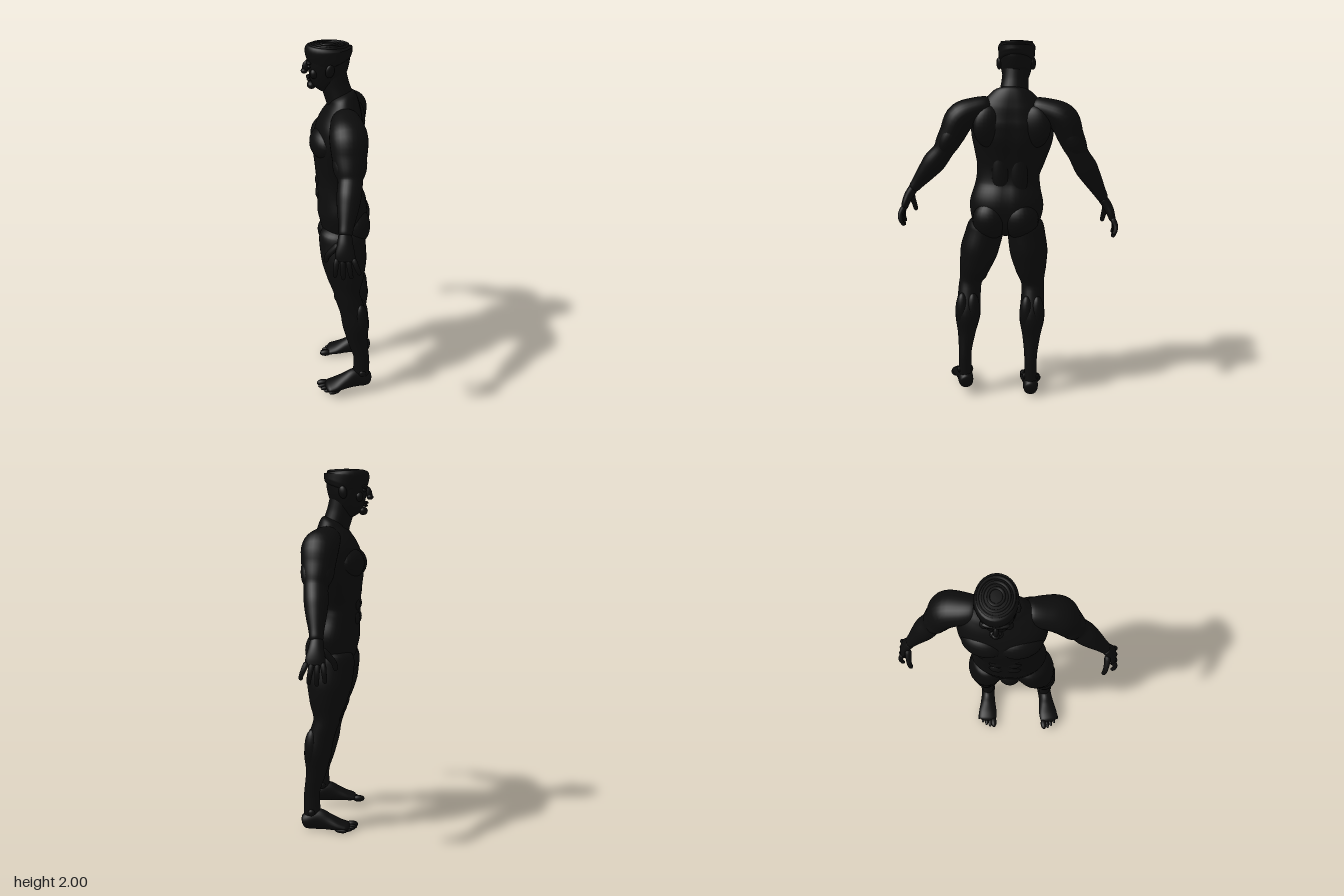
import * as THREE from 'three';

const skin = new THREE.MeshStandardMaterial({ color: 0x0c0c0c });
skin.name = 'near black';

const V = (x, y, z) => new THREE.Vector3(x, y, z);

// Smooth closed body through cross-sections [x, y, z, halfWidth, halfDepth], rounded at both ends
function loft(name, sections, { steps = 40, sides = 28, round = 0.06, ref = V(0, 0, 1), shape = () => 1 } = {}) {
  const path = new THREE.CatmullRomCurve3(sections.map(s => V(s[0], s[1], s[2])));
  const size = new THREE.CatmullRomCurve3(sections.map(s => V(s[3], s[4], 0)));
  const pos = [], index = [];
  for (let i = 0; i <= steps; i++) {
    const t = (1 - Math.cos(Math.PI * i / steps)) / 2;
    const e = Math.max(0, 1 - Math.min(t, 1 - t) / round);
    const k = Math.max(0.001, Math.sqrt(1 - e * e));
    const c = path.getPoint(t), r = size.getPoint(t), dir = path.getTangent(t);
    const v = ref.clone().addScaledVector(dir, -ref.dot(dir)).normalize();
    const u = v.clone().cross(dir);
    for (let j = 0; j < sides; j++) {
      const a = j / sides * Math.PI * 2, m = k * shape(a, t);
      const p = c.clone().addScaledVector(u, r.x * m * Math.cos(a)).addScaledVector(v, r.y * m * Math.sin(a));
      pos.push(p.x, p.y, p.z);
      if (i < steps) {
        const b = i * sides, n = (j + 1) % sides;
        index.push(b + j, b + n, b + sides + j, b + n, b + sides + n, b + sides + j);
      }
    }
  }
  const g = new THREE.BufferGeometry();
  g.setAttribute('position', new THREE.Float32BufferAttribute(pos, 3));
  g.setIndex(index);
  g.computeVertexNormals();
  const mesh = new THREE.Mesh(g, skin);
  mesh.name = name;
  return mesh;
}

// Ellipsoid used for muscles and facial forms
function blob(name, p, r, rot = [0, 0, 0]) {
  const mesh = new THREE.Mesh(new THREE.SphereGeometry(1, 24, 16), skin);
  mesh.name = name;
  mesh.position.set(...p);
  mesh.scale.set(...r);
  mesh.rotation.set(...rot);
  return mesh;
}

const mix = (a, b, t) => a.map((v, i) => v + (b[i] - v) * t);
const finger = (name, pts, r) => loft(name, pts.map((p, i) => [...p, r * (1 - 0.12 * i), r * (1 - 0.12 * i)]),
  { steps: 14, sides: 10, round: 0.12 });

function buildTorso() {
  const g = new THREE.Group();
  g.name = 'torso';
  // The groove follows the spine down the back
  const spine = (a, t) => 1 - 0.07 * Math.exp(-(((a - Math.PI * 1.5) / 0.16) ** 2)) * Math.sin(Math.PI * t);
  g.add(loft('trunk', [
    [0.01, 0.92, 0.02, 0.11, 0.09], [0.005, 1.0, 0.02, 0.19, 0.125], [0, 1.1, 0.025, 0.208, 0.14],
    [-0.005, 1.2, 0.045, 0.185, 0.122], [-0.008, 1.27, 0.05, 0.176, 0.118], [-0.02, 1.37, 0.05, 0.2, 0.128],
    [-0.03, 1.48, 0.045, 0.228, 0.142], [-0.033, 1.57, 0.033, 0.23, 0.13], [-0.035, 1.65, 0.02, 0.19, 0.1],
    [-0.037, 1.7, 0.02, 0.135, 0.08], [-0.04, 1.75, 0.035, 0.08, 0.065],
  ], { steps: 60, sides: 48, shape: spine }));
  for (const s of [-1, 1]) {
    g.add(blob('pectoral', [-0.03 + s * 0.095, 1.5, 0.12], [0.115, 0.085, 0.075], [-0.15, s * 0.3, 0]));
    g.add(blob('shoulderBlade', [-0.033 + s * 0.12, 1.54, -0.045], [0.095, 0.115, 0.05], [0, s * 0.3, 0]));
    g.add(blob('buttock', [0.003 + s * 0.085, 1.02, -0.045], [0.1, 0.11, 0.085]));
    g.add(blob('backMuscle', [-0.02 + s * 0.05, 1.27, -0.045], [0.05, 0.16, 0.03]));
    for (let i = 0; i < 3; i++)
      g.add(blob('abdominal', [-0.012 + s * 0.042, 1.2 + i * 0.075, 0.148], [0.045, 0.04, 0.025]));
  }
  g.add(blob('groin', [0.01, 0.96, 0.11], [0.06, 0.07, 0.055]));
  return g;
}

function buildHead() {
  const g = new THREE.Group();
  g.name = 'head';
  g.add(loft('neck', [[-0.035, 1.62, 0.02, 0.11, 0.085], [-0.04, 1.7, 0.035, 0.085, 0.075],
    [-0.045, 1.78, 0.06, 0.074, 0.073], [-0.05, 1.88, 0.08, 0.07, 0.07]]));
  g.add(loft('skull', [[-0.05, 1.76, 0.15, 0.035, 0.04], [-0.05, 1.785, 0.135, 0.062, 0.065],
    [-0.05, 1.83, 0.115, 0.081, 0.092], [-0.051, 1.88, 0.102, 0.09, 0.108], [-0.052, 1.93, 0.095, 0.093, 0.112],
    [-0.053, 1.985, 0.09, 0.075, 0.09]]));
  // Short hair with stepped crown rings
  g.add(loft('hair', [[-0.053, 1.885, 0.07, 0.092, 0.098], [-0.053, 1.92, 0.083, 0.1, 0.118],
    [-0.053, 1.965, 0.094, 0.102, 0.124], [-0.053, 1.995, 0.094, 0.085, 0.105]], { round: 0.12 }));
  for (const r of [0.035, 0.06, 0.082]) {
    const ring = new THREE.Mesh(new THREE.TorusGeometry(r, 0.007, 8, 36), skin);
    ring.name = 'hairRidge';
    ring.rotation.x = Math.PI / 2;
    ring.scale.y = 1.18;
    ring.position.set(-0.053, 1.997 - r * 0.1, 0.092);
    g.add(ring);
  }
  g.add(blob('brow', [-0.05, 1.905, 0.192], [0.065, 0.013, 0.02]));
  g.add(blob('noseBridge', [-0.05, 1.877, 0.212], [0.013, 0.034, 0.02], [-0.3, 0, 0]));
  g.add(blob('noseTip', [-0.05, 1.853, 0.222], [0.019, 0.014, 0.018]));
  g.add(blob('upperLip', [-0.05, 1.824, 0.2], [0.028, 0.008, 0.014]));
  g.add(blob('lowerLip', [-0.05, 1.809, 0.197], [0.024, 0.008, 0.013]));
  g.add(blob('chin', [-0.05, 1.78, 0.185], [0.034, 0.022, 0.025]));
  for (const s of [-1, 1]) {
    g.add(blob('ear', [-0.05 + s * 0.094, 1.875, 0.085], [0.014, 0.034, 0.024], [-0.2, s * 0.35, 0]));
    g.add(blob('eye', [-0.05 + s * 0.036, 1.886, 0.193], [0.018, 0.009, 0.012]));
    g.add(blob('cheek', [-0.05 + s * 0.055, 1.853, 0.168], [0.024, 0.026, 0.022]));
  }
  return g;
}

// s is +1 for the left side; joints are [x, y, z]
function buildArm(name, s, shoulder, elbow, wrist) {
  const g = new THREE.Group();
  g.name = name;
  const up = t => mix(shoulder, elbow, t), low = t => mix(elbow, wrist, t);
  const [sx, sy] = shoulder;
  g.add(loft('armBody', [
    [sx - s * 0.19, sy + 0.065, 0.01, 0.055, 0.06], [sx - s * 0.09, sy + 0.045, 0, 0.068, 0.085],
    [...shoulder, 0.083, 0.098], [...up(0.45), 0.073, 0.088], [...up(0.75), 0.066, 0.074], [...elbow, 0.057, 0.063],
    [...low(0.25), 0.063, 0.063], [...low(0.5), 0.053, 0.054], [...low(0.8), 0.036, 0.038], [...wrist, 0.027, 0.033],
  ], { steps: 56 }));
  const b = up(0.55);
  g.add(blob('biceps', [b[0], b[1], b[2] + 0.035], [0.052, 0.095, 0.052], [0, 0, s * 0.5]));
  g.add(blob('triceps', [b[0], b[1], b[2] - 0.04], [0.05, 0.1, 0.048], [0, 0, s * 0.5]));

  // Hand: palm, four hanging fingers and a forward thumb
  const at = (x, y, z) => [wrist[0] + s * x, wrist[1] + y, wrist[2] + z];
  g.add(loft('palm', [[...at(-0.015, 0.02, 0), 0.027, 0.033], [...at(0.015, -0.025, 0), 0.026, 0.04],
    [...at(0.035, -0.07, 0), 0.022, 0.05], [...at(0.045, -0.105, 0), 0.017, 0.05]]));
  for (let i = 0; i < 4; i++) {
    const z = 0.038 - i * 0.026, len = [0.1, 0.115, 0.108, 0.085][i];
    g.add(finger('finger', [at(0.04, -0.085, z), at(0.058, -0.09 - len * 0.4, z * 1.3 - 0.004),
      at(0.056, -0.09 - len * 0.75, z * 1.5 - 0.008), at(0.045, -0.09 - len, z * 1.55 - 0.01)], 0.0155));
  }
  g.add(finger('thumb', [at(0.005, -0.025, 0.025), at(0.005, -0.06, 0.06), at(0, -0.095, 0.088),
    at(-0.008, -0.135, 0.097)], 0.019));
  return g;
}

function buildLeg(name, s, hip, knee, ankle, floor, turn) {
  const g = new THREE.Group();
  g.name = name;
  const up = t => mix(hip, knee, t), low = t => mix(knee, ankle, t);
  const back = (p, d) => [p[0], p[1], p[2] - d];
  g.add(loft('legBody', [
    [hip[0], hip[1] + 0.08, hip[2], 0.085, 0.1], [...hip, 0.105, 0.128], [...up(0.35), 0.108, 0.125],
    [...up(0.7), 0.088, 0.1], [...knee, 0.064, 0.07], [...back(low(0.2), 0.008), 0.066, 0.07],
    [...back(low(0.42), 0.012), 0.072, 0.077], [...low(0.7), 0.051, 0.058], [...ankle, 0.036, 0.045],
    [ankle[0], floor + 0.12, ankle[2], 0.036, 0.047], [ankle[0], floor + 0.045, ankle[2] + 0.005, 0.038, 0.048],
  ], { steps: 56 }));
  g.add(blob('kneecap', [knee[0], knee[1] + 0.01, knee[2] + 0.05], [0.038, 0.05, 0.027]));
  const q = up(0.75);
  g.add(blob('innerThigh', [q[0] - s * 0.035, q[1], q[2] + 0.05], [0.046, 0.085, 0.042]));
  for (const d of [-1, 1]) {
    const c = low(0.36);
    g.add(blob('calf', [c[0] + d * 0.03, c[1], c[2] - 0.045], [0.04, 0.105, 0.043]));
  }

  // Foot with five toes, turned about the ankle
  const foot = new THREE.Group();
  foot.name = 'foot';
  foot.position.set(ankle[0], floor, ankle[2]);
  foot.rotation.y = turn;
  foot.add(loft('footBody', [[0, 0.04, -0.058, 0.034, 0.034], [0, 0.05, -0.02, 0.043, 0.05],
    [0, 0.06, 0.035, 0.043, 0.06], [0, 0.047, 0.09, 0.049, 0.046], [0, 0.03, 0.155, 0.059, 0.029],
    [0, 0.02, 0.215, 0.057, 0.018]], { ref: V(0, 1, 0), round: 0.08 }));
  for (let i = 0; i < 5; i++) {
    const x = s * (-0.042 + i * 0.023), r = i ? 0.0145 - i * 0.0006 : 0.02;
    foot.add(blob('toe', [x, r, 0.222 - i * i * 0.0034], [r * 0.95, r, 0.036], [0, s * (i - 1) * 0.08, 0]));
  }
  for (const d of [-1, 1]) foot.add(blob('ankleBone', [d * 0.032, 0.105, 0], [0.014, 0.02, 0.02]));
  g.add(foot);
  return g;
}

export function createModel() {
  const model = new THREE.Group();
  model.name = 'muscularFigure';
  const body = new THREE.Group();
  body.name = 'body';
  // The figure stands turned diagonally away
  body.rotation.y = -Math.PI * 0.75;
  body.add(
    buildTorso(),
    buildHead(),
    buildArm('leftArm', 1, [0.25, 1.585, -0.012], [0.352, 1.4, -0.02], [0.535, 1.175, 0.005]),
    buildArm('rightArm', -1, [-0.312, 1.58, -0.012], [-0.4, 1.385, -0.02], [-0.552, 1.12, 0.005]),
    buildLeg('leftLeg', 1, [0.122, 0.96, 0.025], [0.208, 0.64, -0.005], [0.235, 0.24, -0.085], 0.035, 0.22),
    buildLeg('rightLeg', -1, [-0.11, 0.96, 0.02], [-0.152, 0.63, -0.005], [-0.143, 0.22, -0.085], 0, 0.03),
  );
  model.add(body);
  return model;
}
